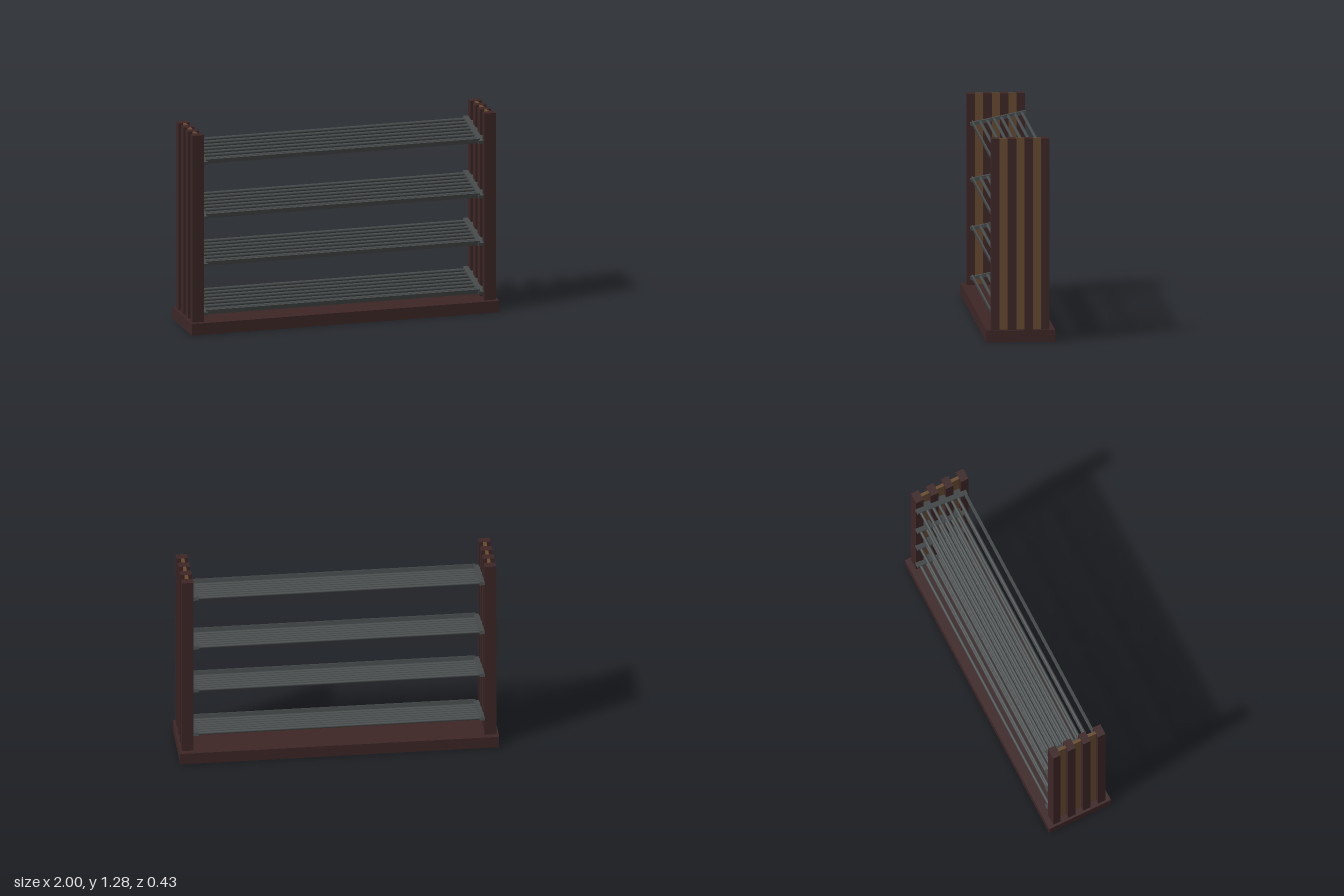
import * as THREE from 'three';

const material = (name, color) => {
  const m = new THREE.MeshStandardMaterial({ color });
  m.name = name;
  return m;
};

export function createModel() {
  const rack = new THREE.Group();
  rack.name = 'slattedRack';
  const darkWood = material('dark wood', 0x3d2626);
  const brownWood = material('brown wood', 0x674a2f);
  const metal = material('grey metal', 0x474b4b);

  const box = (parent, name, mat, size, pos) => {
    const mesh = new THREE.Mesh(new THREE.BoxGeometry(...size), mat);
    mesh.name = name;
    mesh.position.set(...pos);
    parent.add(mesh);
  };

  // Base plinth
  box(rack, 'base', darkWood, [2, 0.075, 0.43], [0, 0.0375, 0]);

  // Side walls: thin inner panel with four upright slats
  const bottom = 0.075, top = 1.28;
  const height = top - bottom, midY = (top + bottom) / 2;
  for (const side of [-1, 1]) {
    const wall = new THREE.Group();
    wall.name = side > 0 ? 'leftWall' : 'rightWall';
    box(wall, 'innerPanel', brownWood, [0.02, height - 0.001, 0.34], [side * 0.947, midY, 0.002]);
    for (let i = 0; i < 4; i++) {
      box(wall, 'uprightSlat', darkWood, [0.073, height, 0.052], [side * 0.9485, midY, 0.158 - i * 0.1043]);
    }
    rack.add(wall);
  }

  // Tilted shelves, higher at the back
  const rod = new THREE.CylinderGeometry(0.0105, 0.0105, 1.78, 12).rotateZ(Math.PI / 2);
  for (const y of [0.156, 0.469, 0.776, 1.128]) {
    const shelf = new THREE.Group();
    shelf.name = 'shelf';
    shelf.position.set(0, y, -0.011);
    shelf.rotation.x = THREE.MathUtils.degToRad(12);

    // End brackets with tabs reaching between the slats
    for (const side of [-1, 1]) {
      box(shelf, 'endBracket', metal, [0.034, 0.021, 0.356], [side * 0.897, 0, 0]);
      box(shelf, 'bracketTab', metal, [0.026, 0.014, 0.3], [side * 0.925, -0.002, 0]);
    }

    // Seven rods and a raised front lip
    for (let i = 0; i < 7; i++) {
      const mesh = new THREE.Mesh(rod, metal);
      mesh.name = 'rod';
      mesh.position.set(0, -0.002, -0.153 + i * 0.0442);
      shelf.add(mesh);
    }
    box(shelf, 'frontLip', metal, [1.78, 0.03, 0.01], [0, 0.006, 0.163]);
    rack.add(shelf);
  }
  return rack;
}
